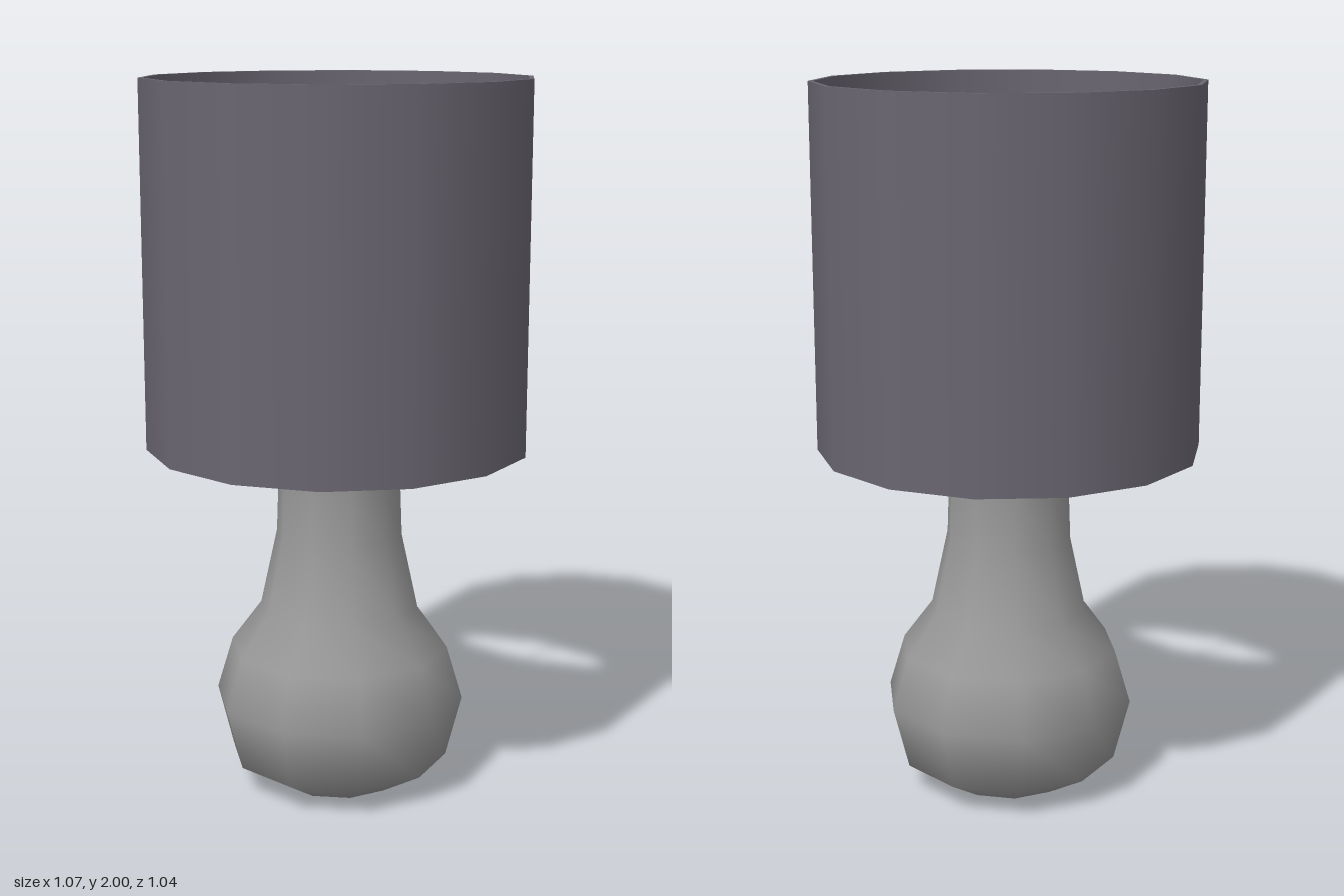
import * as THREE from 'three';
import { mergeGeometries } from 'three/addons/utils/BufferGeometryUtils.js';

// Revolve several profile sections; shading is smooth inside a section, sharp between them
function revolve(sections, sides) {
  return mergeGeometries(sections.map((pts) => new THREE.LatheGeometry(
    pts.map(([r, y]) => new THREE.Vector2(r, y)), sides, Math.PI / 2)));
}

export function createModel() {
  const model = new THREE.Group();
  model.name = 'tableLamp';

  const ceramic = new THREE.MeshStandardMaterial({ color: 0x999999 });
  ceramic.name = 'grey ceramic';
  const fabric = new THREE.MeshStandardMaterial({ color: 0x6a6671 });
  fabric.name = 'purple grey fabric';

  const add = (name, geometry, material) => {
    const mesh = new THREE.Mesh(geometry, material);
    mesh.name = name;
    model.add(mesh);
    return mesh;
  };

  // Bulbous ten-sided base with a neck, a flared lip and a flat top
  const base = add('base', revolve([
    [[0, 0], [0.175, 0], [0.31, 0.08], [0.355, 0.255], [0.31, 0.405], [0.225, 0.52],
      [0.178, 0.735], [0.172, 0.9], [0.178, 1.02], [0.19, 1.08], [0.168, 1.12]],
    [[0.168, 1.12], [0, 1.12]],
  ], 10), ceramic);
  base.position.x = 0.003;

  // Stem and collar that hold the shade
  add('socket', revolve([
    [[0.067, 1.12], [0.067, 1.24]],
    [[0.067, 1.24], [0.1, 1.24]],
    [[0.1, 1.24], [0.1, 1.28]],
    [[0.1, 1.28], [0.067, 1.28]],
    [[0.067, 1.28], [0.067, 1.3]],
    [[0.067, 1.3], [0, 1.3]],
  ], 10), ceramic);

  // Four thin spokes from the collar to the shade
  for (let i = 0; i < 4; i++) {
    const angle = i * Math.PI / 2;
    const reach = i % 2 ? 0.513 : 0.525;
    const geometry = new THREE.CylinderGeometry(0.005, 0.005, reach - 0.08, 6);
    geometry.rotateZ(Math.PI / 2).translate((reach + 0.08) / 2, 1.25, 0).rotateY(angle);
    add('spoke', geometry, ceramic);
  }

  // Open fourteen-sided drum shade with thin walls
  const [outer, inner, low, high] = [0.535, 0.522, 0.99, 2];
  add('shade', revolve([
    [[outer, low], [outer, high]],
    [[outer, high], [inner, high]],
    [[inner, high], [inner, low]],
    [[inner, low], [outer, low]],
  ], 14), fabric);

  return model;
}
